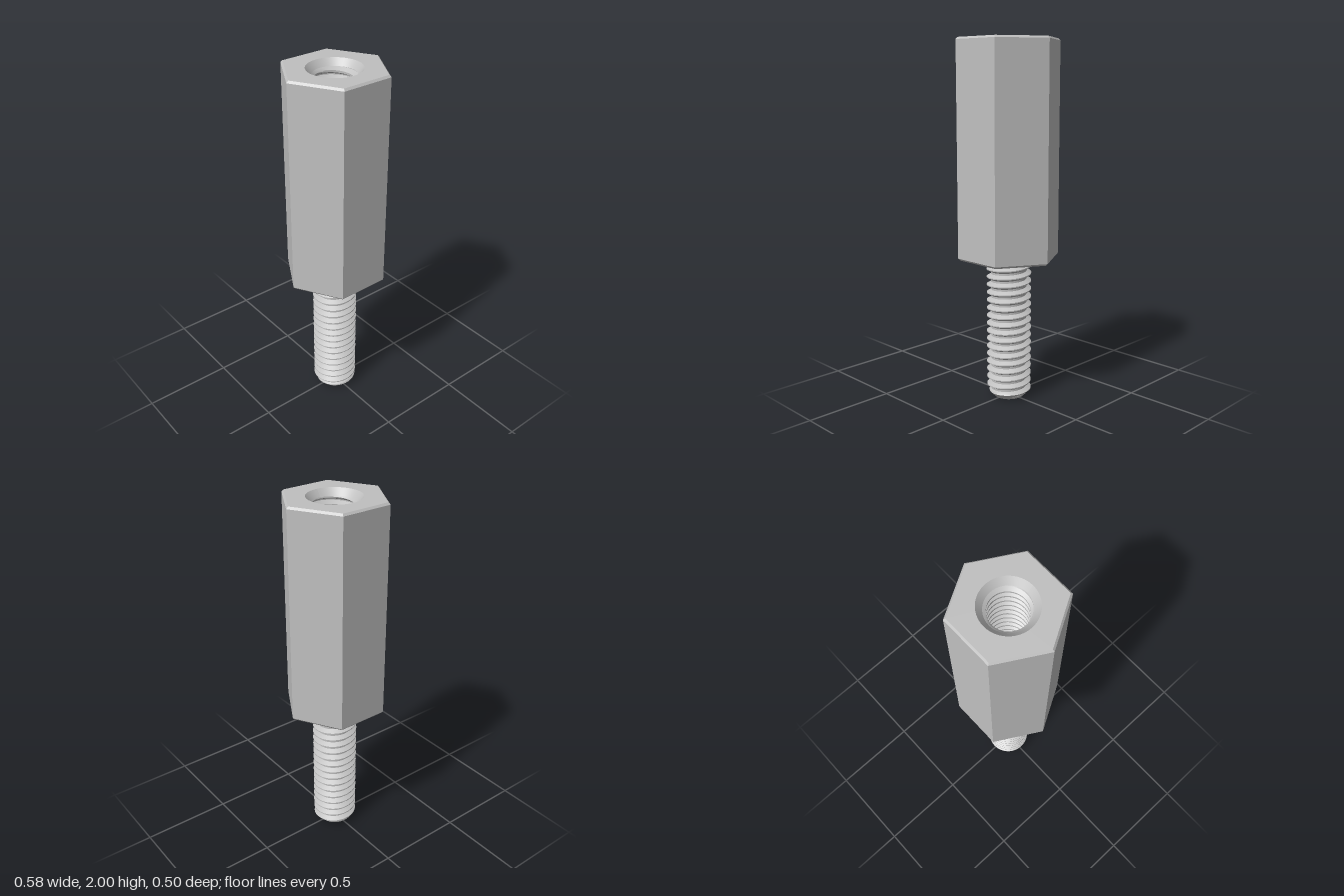
import * as THREE from 'three';
import { mergeGeometries, toCreasedNormals } from 'three/addons/utils/BufferGeometryUtils.js';

const PITCH = 0.045, ROOT = 0.1, CREST = 0.125;
const HEX_R = 0.2887, CHAMFER = 0.011, BODY_BOTTOM = 0.805, TOP = 2;
const HOLE_FLOOR = 1.2, HOLE_MOUTH = 0.145, TIP_R = 0.085;
const STEPS = [0, 0.125, 0.25, 0.4, 0.5625, 0.6875, 0.85]; // rows within one pitch

// Radius of a trapezoid thread at a fraction of its pitch
function threadRadius(f) {
  if (f < 0.25) return ROOT;
  if (f < 0.5625) return ROOT + (CREST - ROOT) * (f - 0.25) / 0.3125;
  if (f < 0.6875) return CREST;
  return CREST - (CREST - ROOT) * (f - 0.6875) / 0.3125;
}

// Right-handed helical surface between two heights; limit() cuts the end bevels
function threadSurface(y0, y1, limit, inward) {
  const segs = 56, pos = [], index = [];
  const turns = Math.ceil((y1 - y0) / PITCH) + 1;
  const rows = [];
  for (let k = -1; k < turns; k++) for (const s of STEPS) rows.push(k + s);
  for (const row of rows) {
    for (let i = 0; i <= segs; i++) {
      const t = i / segs, a = t * Math.PI * 2;
      const y = THREE.MathUtils.clamp(y0 + (row + t) * PITCH, y0, y1);
      const phase = (y - y0) / PITCH - t + 2 + 1e-7;
      const r = limit(threadRadius(phase % 1), y);
      pos.push(r * Math.sin(a), y, r * Math.cos(a));
    }
  }
  const w = segs + 1;
  for (let j = 0; j < rows.length - 1; j++) {
    for (let i = 0; i < segs; i++) {
      const a = j * w + i, b = a + 1, c = b + w, d = a + w;
      if (pos[a * 3 + 1] === pos[d * 3 + 1] && pos[b * 3 + 1] === pos[c * 3 + 1]) continue;
      if (inward) index.push(a, d, b, b, d, c);
      else index.push(a, b, d, b, c, d);
    }
  }
  const geo = new THREE.BufferGeometry();
  geo.setAttribute('position', new THREE.Float32BufferAttribute(pos, 3));
  geo.setIndex(index);
  geo.computeVertexNormals();
  return toCreasedNormals(geo, 0.4);
}

// Hexagon outline with corners on the x axis
function hexShape(r) {
  const pts = [];
  for (let i = 0; i < 6; i++) {
    const a = i * Math.PI / 3;
    pts.push(new THREE.Vector2(r * Math.cos(a), r * Math.sin(a)));
  }
  return new THREE.Shape(pts);
}

// Open six-sided band
function hexBand(rBottom, rTop, y0, y1) {
  const geo = new THREE.CylinderGeometry(rTop, rBottom, y1 - y0, 6, 1, true, Math.PI / 2);
  return geo.translate(0, (y0 + y1) / 2, 0);
}

export function createModel() {
  const model = new THREE.Group();
  const steel = new THREE.MeshStandardMaterial({ color: 0xc0c0c0 });
  steel.name = 'steel grey';
  const add = (name, geo) => {
    const mesh = new THREE.Mesh(geo, steel);
    mesh.name = name;
    model.add(mesh);
  };

  // Hexagonal body with bevelled ends and an opening in the top
  const faceR = HEX_R - CHAMFER;
  const topShape = hexShape(faceR);
  topShape.holes.push(new THREE.Path().absarc(0, 0, HOLE_MOUTH, 0, Math.PI * 2, true));
  const parts = [
    hexBand(faceR, HEX_R, BODY_BOTTOM, BODY_BOTTOM + CHAMFER),
    hexBand(HEX_R, HEX_R, BODY_BOTTOM + CHAMFER, TOP - CHAMFER),
    hexBand(HEX_R, faceR, TOP - CHAMFER, TOP),
    new THREE.ShapeGeometry(topShape, 28).rotateX(-Math.PI / 2).translate(0, TOP, 0),
    new THREE.ShapeGeometry(hexShape(faceR)).rotateX(Math.PI / 2).translate(0, BODY_BOTTOM, 0),
  ].map((g) => g.toNonIndexed());
  const body = mergeGeometries(parts);
  body.computeVertexNormals();
  add('hexBody', body);

  // Threaded hole with a countersunk mouth
  const sinkBottom = TOP - 0.035, sinkR = 0.115;
  const sink = new THREE.CylinderGeometry(HOLE_MOUTH, sinkR, TOP - sinkBottom, 56, 1, true);
  sink.translate(0, (TOP + sinkBottom) / 2, 0);
  sink.setIndex(Array.from(sink.index.array).reverse());
  sink.computeVertexNormals();
  add('countersink', sink);
  add('holeThread', threadSurface(HOLE_FLOOR, sinkBottom,
    (r, y) => Math.max(r, sinkR - (sinkBottom - y)), true));
  const lip = new THREE.RingGeometry(sinkR, CREST, 56).rotateX(Math.PI / 2);
  add('holeLip', lip.translate(0, sinkBottom, 0));
  add('holeFloor', new THREE.CircleGeometry(CREST, 56).rotateX(-Math.PI / 2).translate(0, HOLE_FLOOR, 0));

  // Threaded stud with a bevelled tip
  add('studThread', threadSurface(0, BODY_BOTTOM, (r, y) => Math.min(r, TIP_R + y), false));
  add('studTip', new THREE.CircleGeometry(TIP_R, 56).rotateX(Math.PI / 2));
  return model;
}
